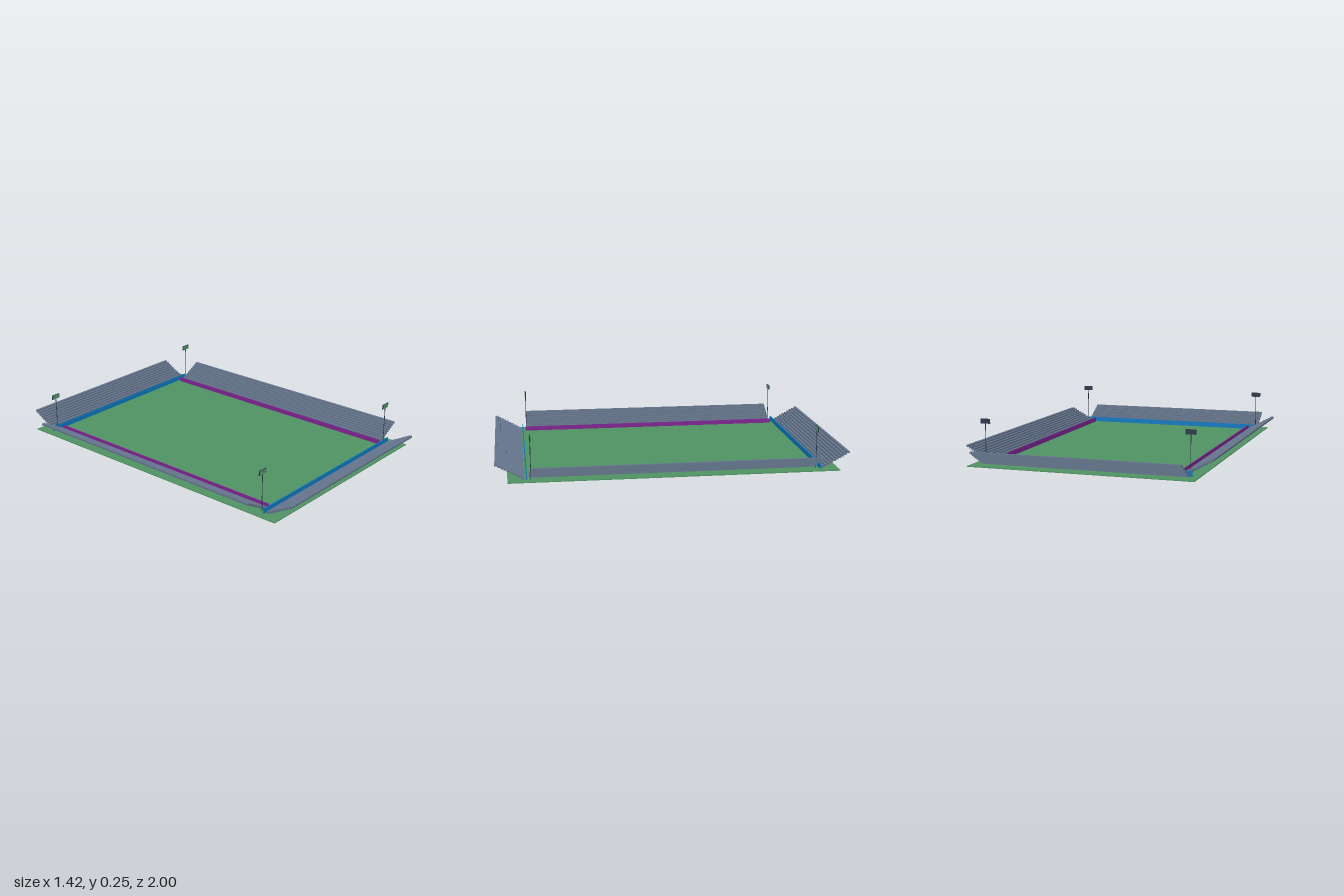
import * as THREE from 'three';

const mat = (name, color) => {
  const m = new THREE.MeshStandardMaterial({ color });
  m.name = name;
  return m;
};

export function createModel() {
  const grass = mat('grass green', 0x4f9262);
  const seat = mat('terrace slate', 0x64748b);
  const blue = mat('board blue', 0x0878be);
  const purple = mat('board purple', 0x7e2290);
  const dark = mat('mast dark', 0x2b3648);

  const model = new THREE.Group();
  model.name = 'stadium';

  const box = (parent, name, material, size, pos) => {
    const mesh = new THREE.Mesh(new THREE.BoxGeometry(...size), material);
    mesh.name = name;
    mesh.position.set(...pos);
    parent.add(mesh);
    return mesh;
  };

  // Ground slab
  box(model, 'pitch', grass, [1.29, 0.005, 1.866], [0, 0.0025, 0]);

  // Open terrace of ten staggered slabs, rising along its local +z
  const STEPS = 10;
  const terrace = (name, length, inner, outer, angle) => {
    const group = new THREE.Group();
    group.name = name;
    const depth = (outer - inner) / STEPS;
    for (let i = 0; i < STEPS; i++) {
      box(group, 'terraceStep', seat, [length, 0.011, depth + 0.001],
        [0, 0.0125 + i * 0.0088, inner + (i + 0.5) * depth]);
    }
    group.rotation.y = angle;
    model.add(group);
  };
  terrace('frontStand', 1.185, 0.84, 1.0, 0);
  terrace('backStand', 1.185, 0.84, 1.0, Math.PI);
  terrace('leftStand', 1.612, 0.55, 0.71, Math.PI / 2);
  terrace('rightStand', 1.612, 0.55, 0.71, -Math.PI / 2);

  for (const s of [-1, 1]) {
    // Advertising boards along the ends and the sides
    box(model, 'endBoard', blue, [1.21, 0.029, 0.005], [0, 0.0195, s * 0.828]);
    box(model, 'sideBoard', purple, [0.005, 0.027, 1.62], [s * 0.54, 0.0185, 0]);

    // Floodlights, all facing the front
    for (const t of [-1, 1]) {
      const light = new THREE.Group();
      light.name = 'floodlight';
      light.position.set(s * 0.59, 0, t * 0.805);
      const mast = new THREE.Mesh(new THREE.CylinderGeometry(0.002, 0.002, 0.225, 8), dark);
      mast.name = 'mast';
      mast.position.y = 0.1175;
      light.add(mast);
      box(light, 'lampHead', dark, [0.056, 0.027, 0.006], [0, 0.2375, 0]);
      for (let c = 0; c < 3; c++) for (let r = 0; r < 2; r++) {
        box(light, 'lampPanel', grass, [0.0165, 0.0115, 0.002],
          [(c - 1) * 0.018, 0.2375 + (r - 0.5) * 0.013, 0.0035]);
      }
      model.add(light);
    }
  }
  return model;
}
